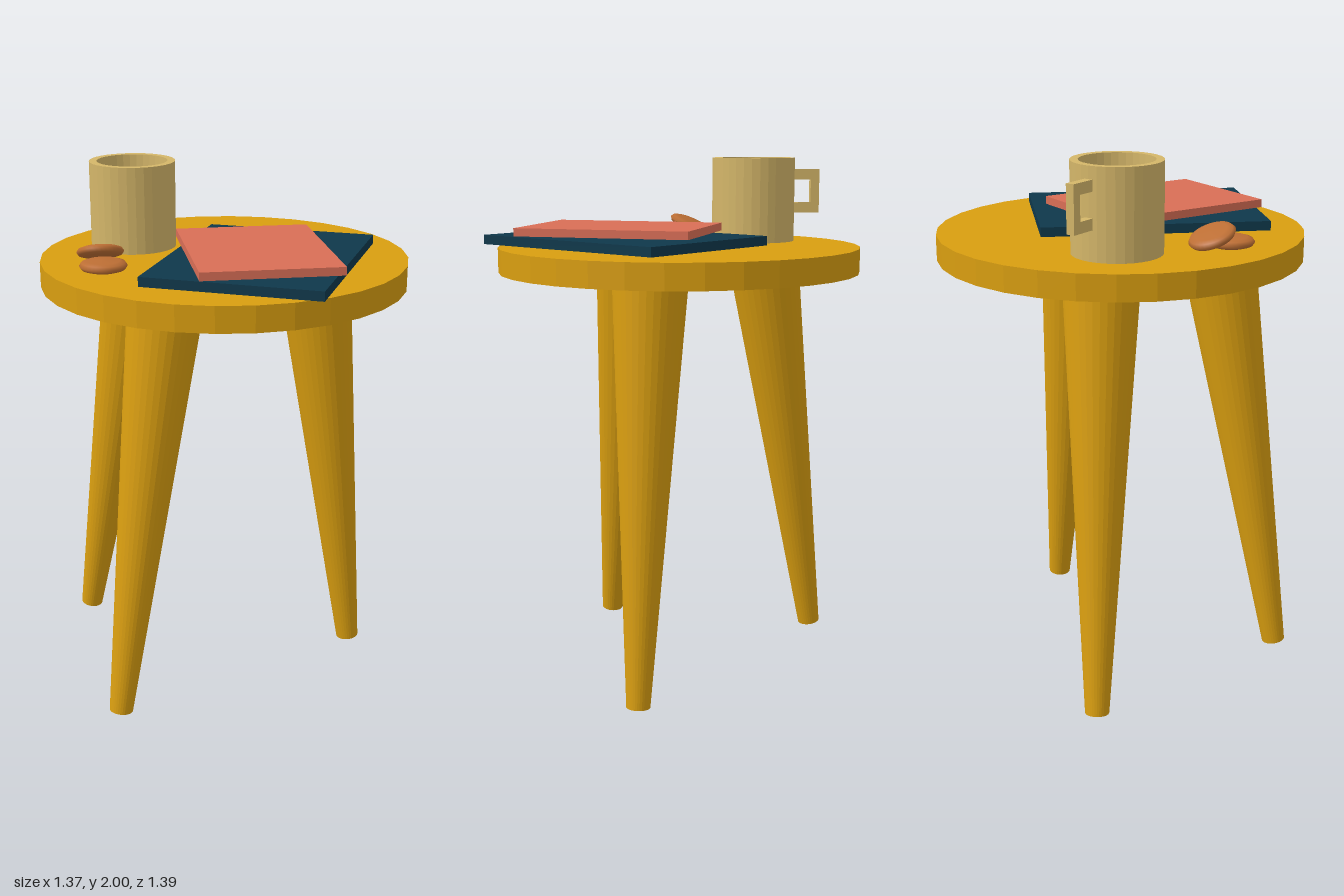
import * as THREE from 'three';

const material = (name, color) => {
  const m = new THREE.MeshStandardMaterial({ color });
  m.name = name;
  return m;
};

// Faceted normals without touching the material
const faceted = (geometry) => {
  const g = geometry.index ? geometry.toNonIndexed() : geometry;
  g.computeVertexNormals();
  return g;
};

const lathe = (points, segments) =>
  new THREE.LatheGeometry(points.map(([x, y]) => new THREE.Vector2(x, y)), segments);

export function createModel() {
  const group = new THREE.Group();
  const wood = material('ochre wood', 0xd99e10);
  const clay = material('tan ceramic', 0xd4b669);
  const navy = material('navy cover', 0x0f384b);
  const coral = material('coral cover', 0xd96e56);
  const biscuit = material('brown biscuit', 0xbc6e34);

  const add = (name, geometry, mat, x, y, z, parent = group) => {
    const mesh = new THREE.Mesh(geometry, mat);
    mesh.name = name;
    mesh.position.set(x, y, z);
    parent.add(mesh);
    return mesh;
  };

  // Round seat
  add('tableTop', faceted(new THREE.CylinderGeometry(0.687, 0.687, 0.095, 32)), wood, 0, 1.627, -0.012);

  // Three splayed, tapered legs: [foot, top]
  const legs = [
    ['leftLeg', [0.526, 0], [0.344, 0]],
    ['frontRightLeg', [-0.468, 0.426], [-0.25, 0.26]],
    ['backRightLeg', [-0.53, -0.455], [-0.296, -0.28]],
  ];
  for (const [name, foot, top] of legs) {
    const a = new THREE.Vector3(foot[0], 0.01, foot[1]);
    const b = new THREE.Vector3(top[0], 1.6, top[1]);
    const axis = b.clone().sub(a);
    const mid = a.clone().add(b).multiplyScalar(0.5);
    const leg = add(name, faceted(new THREE.CylinderGeometry(0.14, 0.045, axis.length(), 32)), wood, mid.x, mid.y, mid.z);
    leg.quaternion.setFromUnitVectors(new THREE.Vector3(0, 1, 0), axis.normalize());
  }

  // Mug with a hollow inside and a square handle
  const mug = new THREE.Group();
  mug.name = 'mug';
  mug.position.set(-0.32, 1.675, -0.23);
  mug.rotation.y = 1.946;
  group.add(mug);
  add('mugBody', faceted(lathe(
    [[0, 0], [0.163, 0], [0.163, 0.325], [0.134, 0.325], [0.12, 0.03], [0, 0.03]], 32)), clay, 0, 0, 0, mug);
  const outline = new THREE.Shape([[0.15, 0.11], [0.263, 0.11], [0.263, 0.28], [0.15, 0.28]]
    .map(([x, y]) => new THREE.Vector2(x, y)));
  outline.holes.push(new THREE.Path([[0.158, 0.15], [0.158, 0.24], [0.229, 0.24], [0.229, 0.15]]
    .map(([x, y]) => new THREE.Vector2(x, y))));
  add('mugHandle', new THREE.ExtrudeGeometry(outline, { depth: 0.032, bevelEnabled: false }), clay, 0, 0, -0.016, mug);

  // Stacked books
  add('largeBook', new THREE.BoxGeometry(0.651, 0.035, 0.851), navy, 0.113, 1.7, 0.17).rotation.y = -0.441;
  add('smallBook', new THREE.BoxGeometry(0.505, 0.03, 0.665), coral, 0.086, 1.738, 0.194);

  // Two domed biscuits, one leaning on the other
  const cookie = lathe([[0, -0.02], [0.06, -0.018], [0.079, -0.012], [0.087, 0],
    [0.079, 0.012], [0.06, 0.018], [0, 0.021]], 32);
  add('lowerBiscuit', cookie, biscuit, -0.463, 1.695, 0.153);
  add('leaningBiscuit', cookie, biscuit, -0.468, 1.725, 0.068).rotation.x = -0.4;

  return group;
}
